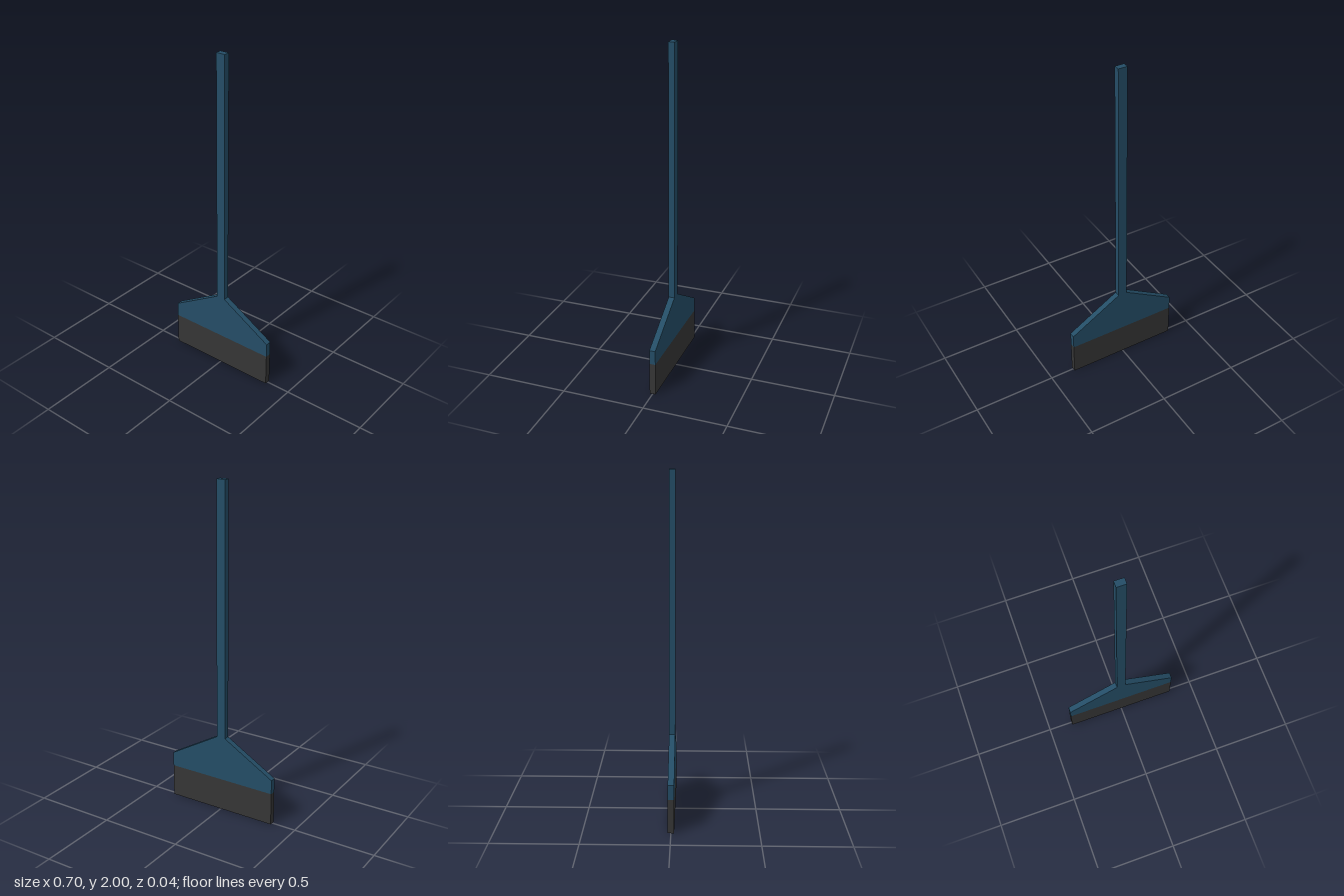
import * as THREE from 'three';

const DEPTH = 0.036;
const HALF_WIDTH = 0.348;
const HALF_HANDLE = 0.028;
const BLADE_TOP = 0.2;
const SHOULDER = 0.288;
const NECK = 0.475;

export function createModel() {
  const blue = new THREE.MeshStandardMaterial({ color: 0x244d66, flatShading: true });
  blue.name = 'dark blue';
  const charcoal = new THREE.MeshStandardMaterial({ color: 0x353535, flatShading: true });
  charcoal.name = 'charcoal';

  const group = new THREE.Group();
  group.name = 'broom';

  // Long handle and sloping head cut from one flat outline
  const outline = new THREE.Shape([
    [-HALF_WIDTH, BLADE_TOP], [HALF_WIDTH, BLADE_TOP],
    [HALF_WIDTH, SHOULDER], [HALF_HANDLE, NECK],
    [HALF_HANDLE, 2], [-HALF_HANDLE, 2],
    [-HALF_HANDLE, NECK], [-HALF_WIDTH, SHOULDER],
  ].map(([x, y]) => new THREE.Vector2(x, y)));
  const bodyGeometry = new THREE.ExtrudeGeometry(outline, { depth: DEPTH, bevelEnabled: false });
  bodyGeometry.translate(0, 0, -DEPTH / 2);
  const body = new THREE.Mesh(bodyGeometry, blue);
  body.name = 'handleAndHead';
  group.add(body);

  // Dark block along the bottom edge
  const bristles = new THREE.Mesh(new THREE.BoxGeometry(HALF_WIDTH * 2, BLADE_TOP, DEPTH), charcoal);
  bristles.name = 'bristles';
  bristles.position.y = BLADE_TOP / 2;
  group.add(bristles);

  return group;
}
